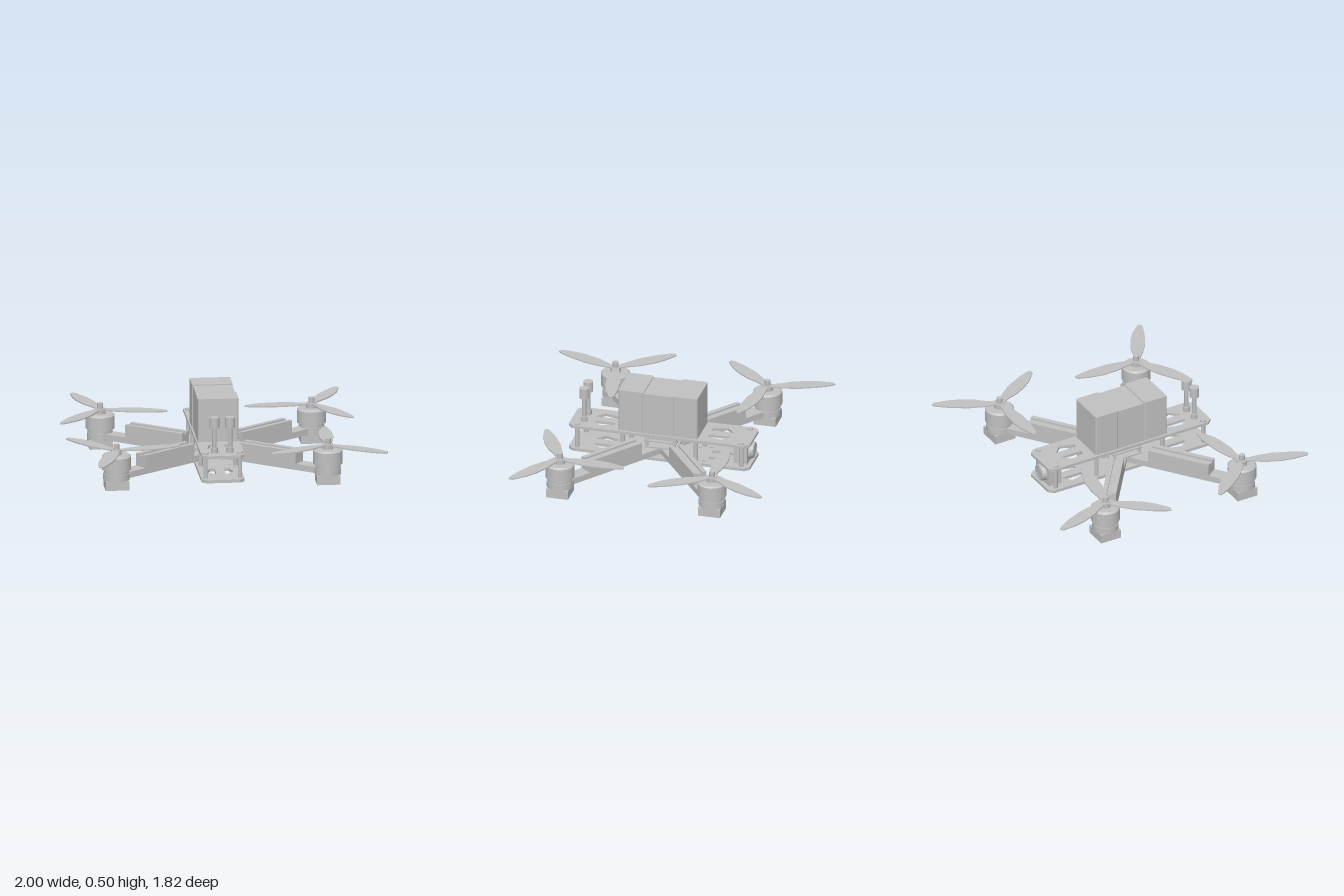
import * as THREE from 'three';

const grey = new THREE.MeshStandardMaterial({ color: 0xc0c0c0 });
grey.name = 'light grey';

const CX = -0.035; // centre line of the frame

function add(parent, name, geo, x = 0, y = 0, z = 0) {
  const mesh = new THREE.Mesh(geo, grey);
  mesh.name = name;
  mesh.position.set(x, y, z);
  parent.add(mesh);
  return mesh;
}

// box and cylinder given by their bottom and top heights
const box = (p, name, w, d, y0, y1, x = 0, z = 0) =>
  add(p, name, new THREE.BoxGeometry(w, y1 - y0, d), x, (y0 + y1) / 2, z);
const cyl = (p, name, r, y0, y1, x = 0, z = 0, seg = 32) =>
  add(p, name, new THREE.CylinderGeometry(r, r, y1 - y0, seg), x, (y0 + y1) / 2, z);

// flat slab: outline in x and z, top at y = 0
function slab(shape, thickness) {
  const geo = new THREE.ExtrudeGeometry(shape, { depth: thickness, bevelEnabled: false, curveSegments: 8 });
  return geo.rotateX(Math.PI / 2);
}
const poly = (pts, C = THREE.Shape) => new C(pts.map(([x, z]) => new THREE.Vector2(x, z)));

// rectangle with cut corners
function cutRect(w, d, c) {
  const a = w / 2, b = d / 2;
  return poly([[-a + c, -b], [a - c, -b], [a, -b + c], [a, b - c], [a - c, b], [-a + c, b], [-a, b - c], [-a, -b + c]]);
}

function framePlate(extraHoles) {
  const shape = cutRect(0.275, 1.19, 0.03);
  for (const sx of [-1, 1]) {
    for (const sz of [-1, 1]) {
      shape.holes.push(poly([[0.085, 0.4], [0.03, 0.455], [0.03, 0.31], [0.06, 0.31]]
        .map(([x, z]) => [x * sx, z * sz]), THREE.Path));
      if (extraHoles) {
        for (const [x, z] of [[0.08, 0.22], [0.045, 0.1], [0.1, 0.29]]) {
          shape.holes.push(new THREE.Path().absarc(x * sx, z * sz, 0.011, 0, Math.PI * 2));
        }
      }
    }
  }
  return shape;
}

// three flat blades, the wider edge chosen by side
function makePropeller(angle, side) {
  const prop = new THREE.Group();
  prop.name = 'propeller';
  const outline = [[0.015, -0.016], [0.1, -0.034], [0.2, -0.043], [0.32, -0.032], [0.405, -0.014],
    [0.43, 0], [0.42, 0.022], [0.33, 0.046], [0.25, 0.053], [0.15, 0.045], [0.08, 0.026], [0.015, 0.016]];
  const geo = slab(poly(outline.map(([r, v]) => [r, v * side])), 0.008);
  for (let i = 0; i < 3; i++) {
    add(prop, 'blade', geo, 0, 0.249, 0).rotation.y = -(angle * Math.PI / 180 + i * Math.PI * 2 / 3);
  }
  cyl(prop, 'hub', 0.034, 0.22, 0.252);
  cyl(prop, 'shaftNut', 0.019, 0.252, 0.288, 0, 0, 16);
  return prop;
}

function makeMotor(sx, sz, angle) {
  const motor = new THREE.Group();
  motor.name = 'motor';
  motor.position.set(CX + sx * 0.675, 0, sz * 0.5);
  box(motor, 'landingFoot', 0.15, 0.145, 0, 0.058);
  cyl(motor, 'motorMount', 0.085, 0.058, 0.1);
  cyl(motor, 'stator', 0.08, 0.1, 0.125);
  cyl(motor, 'bell', 0.093, 0.125, 0.21);
  add(motor, 'bellTop', new THREE.CylinderGeometry(0.082, 0.093, 0.01, 32), 0, 0.215, 0);
  motor.add(makePropeller(angle, -sx * sz));
  return motor;
}

function makeArm(sx, sz) {
  const arm = new THREE.Group();
  arm.name = 'arm';
  arm.position.x = CX;
  arm.rotation.y = Math.atan2(-sz * 0.5, sx * 0.675);
  box(arm, 'armBeam', 0.84, 0.09, 0.06, 0.1, 0.42);
  // raised housing with a groove along its top
  box(arm, 'armHousing', 0.42, 0.09, 0.1, 0.17, 0.42);
  for (const s of [-1, 1]) box(arm, 'armRail', 0.42, 0.03, 0.17, 0.182, 0.42, s * 0.03);
  return arm;
}

export function createModel() {
  const model = new THREE.Group();
  model.name = 'quadcopter';

  // frame
  const frame = new THREE.Group();
  frame.name = 'frame';
  frame.position.x = CX;
  model.add(frame);
  add(frame, 'bottomPlate', slab(framePlate(true), 0.02), 0, 0.058, 0);
  add(frame, 'topPlate', slab(framePlate(false), 0.018), 0, 0.216, 0);
  for (const sx of [-1, 1]) {
    for (const sz of [-1, 1]) {
      for (const z of [0.54, 0.24]) {
        cyl(frame, 'standoff', 0.014, 0.055, 0.2, sx * 0.11, sz * z, 12);
      }
      cyl(frame, 'screwHead', 0.018, 0.216, 0.226, sx * 0.11, sz * 0.54, 16);
      cyl(frame, 'boardPost', 0.009, 0.055, 0.175, sx * 0.075, sz * 0.09, 10);
    }
  }

  // electronics between the plates
  for (const y of [0.1, 0.142, 0.162]) box(frame, 'circuitBoard', 0.18, 0.21, y, y + 0.01);

  // camera at the rear
  const camera = new THREE.Group();
  camera.name = 'camera';
  frame.add(camera);
  box(camera, 'cameraBody', 0.16, 0.09, 0.06, 0.197, 0, -0.525);
  const lens = add(camera, 'lens', new THREE.CylinderGeometry(0.052, 0.058, 0.03, 32), 0, 0.128, -0.583);
  lens.rotation.x = -Math.PI / 2;
  add(camera, 'lensRing', new THREE.TorusGeometry(0.044, 0.006, 8, 32), 0, 0.128, -0.596);

  // battery with a strap around its middle
  const battery = new THREE.Group();
  battery.name = 'battery';
  frame.add(battery);
  for (const [z, d] of [[0.1825, 0.165], [-0.1725, 0.165]]) {
    add(battery, 'batteryEnd', slab(cutRect(0.26, d, 0.008), 0.282), 0, 0.502, z);
  }
  box(battery, 'batteryStrap', 0.25, 0.2, 0.197, 0.495, 0, 0.005);

  // antennas at the front
  for (const x of [-0.05, 0.05]) {
    cyl(frame, 'antennaBase', 0.022, 0.216, 0.25, x, 0.51, 16);
    cyl(frame, 'antennaMast', 0.014, 0.25, 0.38, x, 0.51, 16);
    cyl(frame, 'antennaCap', 0.031, 0.38, 0.448, x, 0.51, 24);
  }

  // arms, motors and propellers
  for (const [sx, sz, angle] of [[-1, -1, 12], [1, -1, 57], [-1, 1, -12], [1, 1, 34]]) {
    model.add(makeArm(sx, sz), makeMotor(sx, sz, angle));
  }
  return model;
}
